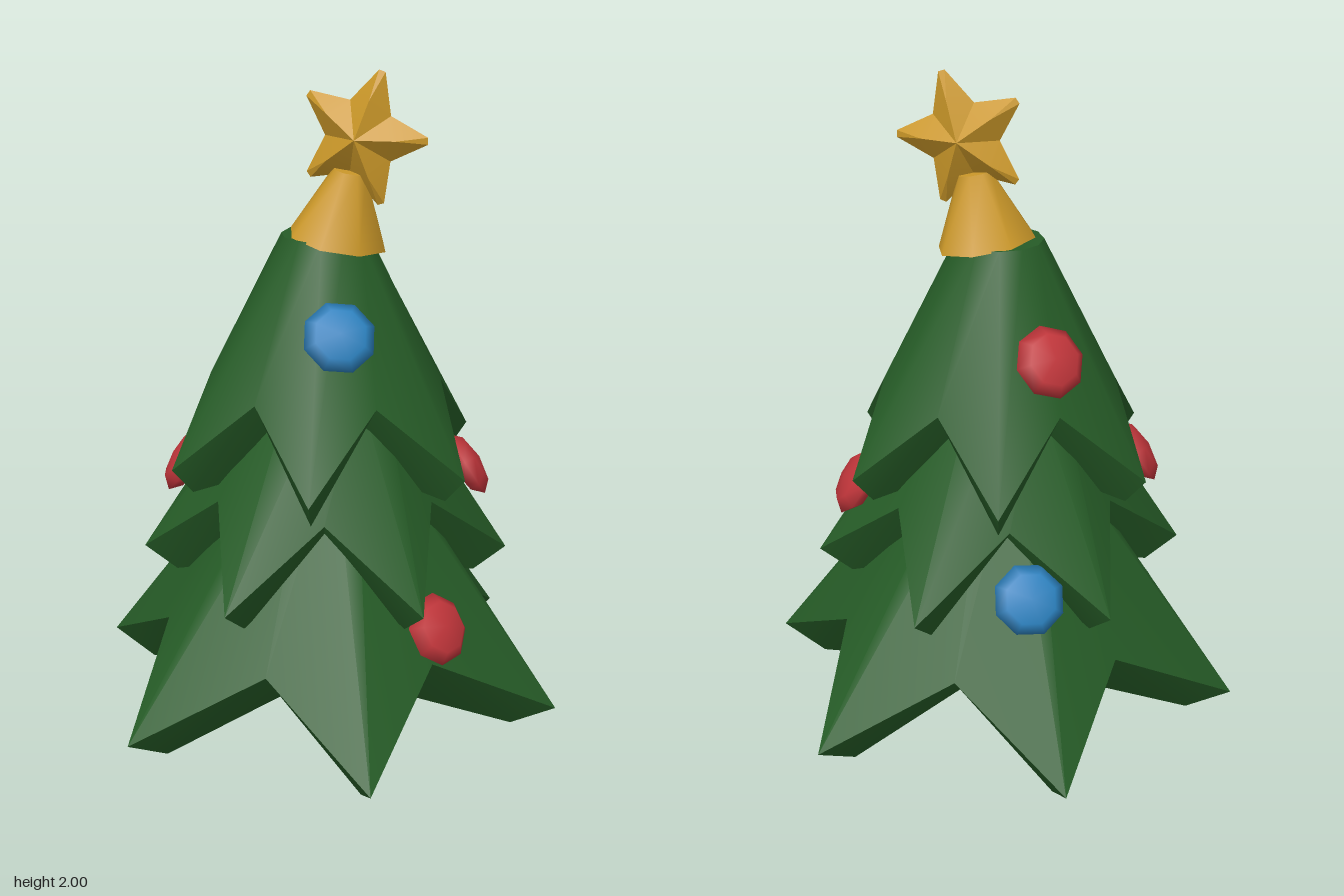
import * as THREE from 'three';
import { toCreasedNormals } from 'three/addons/utils/BufferGeometryUtils.js';

const mat = (name, color) => {
  const m = new THREE.MeshStandardMaterial({ color });
  m.name = name;
  return m;
};

// Build a creased geometry from a list of triangles, each three points
function fromTriangles(tris, crease) {
  const g = new THREE.BufferGeometry();
  g.setAttribute('position', new THREE.Float32BufferAttribute(tris.flat(2), 3));
  return toCreasedNormals(g, crease);
}

// Six-pointed skirt of branches: tip, lower tip lip, valley, top ring, hollow underside
function tierGeometry({ turn, tip, lip, valley, top, base }) {
  const at = ([r, y], i) => {
    const a = turn + (i * Math.PI) / 6;
    return [r * Math.cos(a), y, r * Math.sin(a)];
  };
  const under = [0, base, 0], lid = [0, top[1], 0];
  const tris = [];
  for (let i = 0; i < 12; i++) {
    const isTip = i % 2 === 0;
    const r0 = at(isTip ? tip : valley, i), r1 = at(isTip ? valley : tip, i + 1);
    const t0 = at(top, i), t1 = at(top, i + 1);
    tris.push([r0, t0, r1], [r1, t0, t1], [t0, lid, t1]);
    // lip below the tip, then the underside
    const b = at(lip, isTip ? i : i + 1);
    tris.push([r0, r1, b]);
    tris.push(isTip ? [b, r1, under] : [r0, b, under]);
  }
  return fromTriangles(tris, 0.8);
}

// Five-armed star with blunt tips and a raised ridge along each arm
function starGeometry() {
  const pt = (r, a, z) => [r * Math.cos(a), r * Math.sin(a), z];
  const tris = [];
  for (let k = 0; k < 5; k++) {
    const a = (k * Math.PI * 2) / 5, h = Math.PI / 5;
    const rim = [pt(0.11, a - h, 0), pt(0.2, a - 0.05, 0), pt(0.2, a + 0.05, 0), pt(0.11, a + h, 0)];
    for (const s of [1, -1]) {
      const ring = [[0, 0, 0.064 * s], ...rim], ridge = pt(0.115, a, 0.04 * s);
      ring.forEach((p, i) => {
        const q = ring[(i + 1) % ring.length];
        tris.push(s > 0 ? [p, q, ridge] : [q, p, ridge]);
      });
    }
  }
  return fromTriangles(tris, 0.4);
}

export function createModel() {
  const model = new THREE.Group();
  model.name = 'decoratedTree';
  const green = mat('pineGreen', 0x265c27);
  const gold = mat('gold', 0xcb9829);
  const red = mat('red', 0xc0353a);
  const blue = mat('blue', 0x2b80bd);

  const add = (name, geometry, material) => {
    const m = new THREE.Mesh(geometry, material);
    m.name = name;
    model.add(m);
    return m;
  };

  // Three tiers of branches, each turned against the one below
  const deg = Math.PI / 180;
  add('lowerBranches', tierGeometry({
    turn: 0, tip: [0.76, 0.08], lip: [0.62, 0], valley: [0.5, 0.3], top: [0.15, 0.9], base: 0.05,
  }), green);
  add('middleBranches', tierGeometry({
    turn: 40 * deg, tip: [0.57, 0.51], lip: [0.47, 0.43], valley: [0.37, 0.74], top: [0.2, 1.09], base: 0.48,
  }), green);
  add('upperBranches', tierGeometry({
    turn: 15 * deg, tip: [0.5, 0.85], lip: [0.435, 0.77], valley: [0.35, 1.08], top: [0.13, 1.52], base: 0.82,
  }), green);

  // Tilted gold cap and the star on it
  const capShape = new THREE.CylinderGeometry(0.05, 0.15, 0.21, 8).translate(0, 0.105, 0);
  const cap = add('starHolder', toCreasedNormals(capShape, 0.9), gold);
  cap.position.set(0.04, 1.505, 0);
  cap.rotation.z = -10 * deg;
  add('star', starGeometry(), gold).position.set(0.11, 1.81, 0);

  // Flattened baubles lying on the slope of the branches
  const bauble = new THREE.SphereGeometry(0.108, 8, 4).scale(1, 0.42, 1);
  const up = new THREE.Vector3(0, 1, 0);
  const baubles = [
    [0.13, 1.28, 0.235, blue], [-0.2, 0.56, -0.4, blue],
    [0.4, 0.77, -0.2, red], [0.44, 0.41, 0.23, red],
    [-0.4, 0.81, 0.16, red], [-0.21, 1.24, -0.225, red],
  ];
  for (const [x, y, z, material] of baubles) {
    const m = add('bauble', bauble, material);
    m.position.set(x, y, z);
    const out = new THREE.Vector3(x, 0, z).normalize().setY(0.62).normalize();
    m.quaternion.setFromUnitVectors(up, out);
  }
  return model;
}
